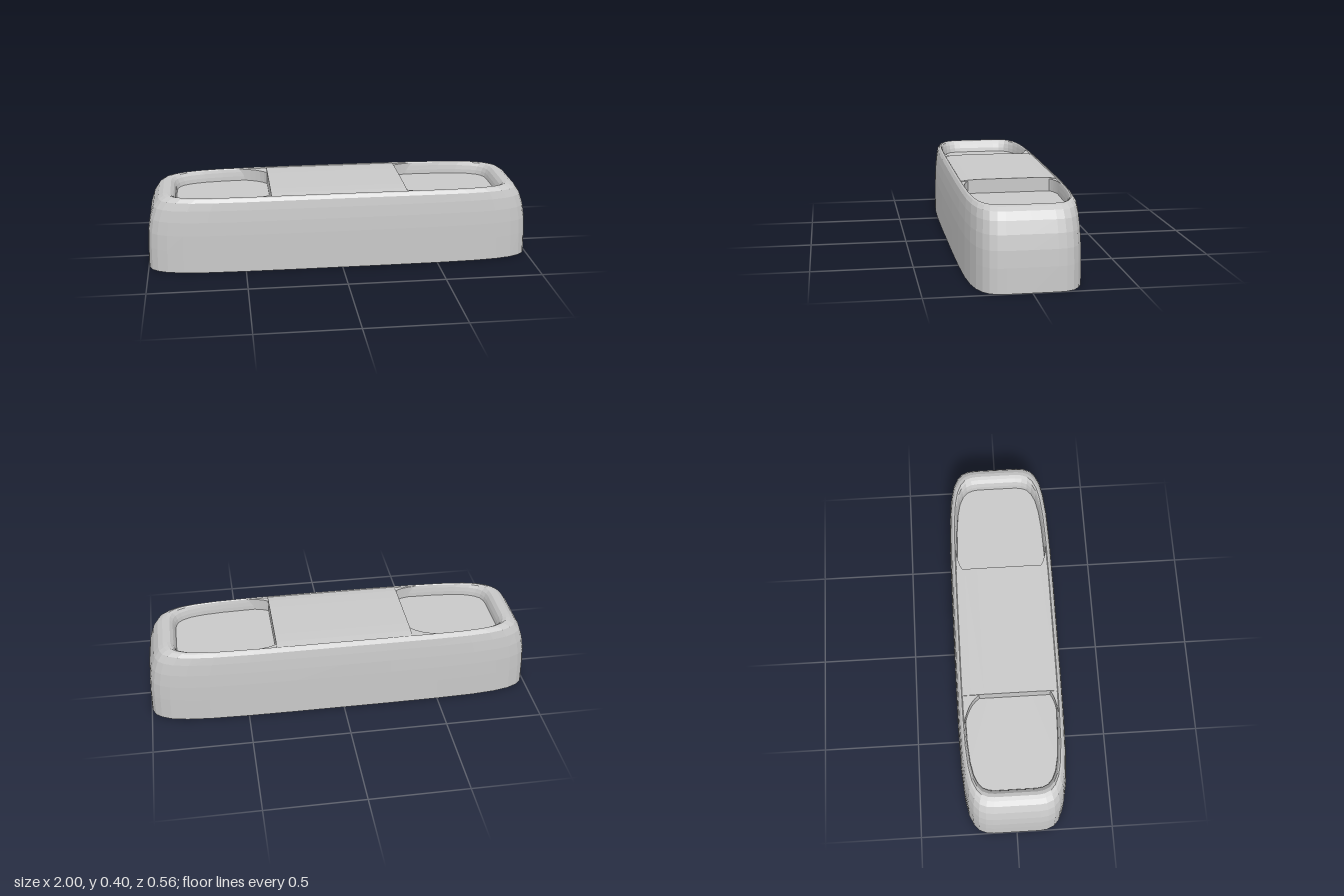
import * as THREE from 'three';

const grey = new THREE.MeshStandardMaterial({ color: 0xc8c8c8 });
grey.name = 'light grey';

// one quarter of the plan outline, as fractions of the half sizes (x, z)
const quarter = [[1, 0], [1, 0.43], [0.995, 0.57], [0.98, 0.695], [0.95, 0.79], [0.9, 0.872],
  [0.82, 0.932], [0.7, 0.972], [0.5, 0.993], [0.25, 1], [0, 1]];

function fullOutline() {
  const flip = (sx, sz) => quarter.map(([x, z]) => [sx * x, sz * z]);
  return [
    ...flip(1, 1).slice(0, -1),
    ...flip(-1, 1).reverse().slice(0, -1),
    ...flip(-1, -1).slice(0, -1),
    ...flip(1, -1).reverse().slice(0, -1),
  ];
}

// skin a stack of [halfX, halfZ, y] rings with flat facets
function loft(rings) {
  const outline = fullOutline();
  const n = outline.length;
  const point = ([hx, hz, y], i) => {
    const [ox, oz] = outline[i % n];
    const arch = y > 0.36 ? 0.005 * (1 - ox * ox) : 0; // rim rises a touch mid-length
    return [ox * hx, y + arch, oz * hz];
  };
  const pos = [];
  for (let r = 0; r < rings.length - 1; r++) {
    for (let i = 0; i < n; i++) {
      const a = point(rings[r], i), b = point(rings[r], i + 1);
      const c = point(rings[r + 1], i), d = point(rings[r + 1], i + 1);
      if (rings[r][0] > 0) pos.push(...a, ...c, ...b);
      if (rings[r + 1][0] > 0) pos.push(...b, ...c, ...d);
    }
  }
  const geo = new THREE.BufferGeometry();
  geo.setAttribute('position', new THREE.Float32BufferAttribute(pos, 3));
  geo.computeVertexNormals();
  return geo;
}

function add(group, name, geo) {
  const mesh = new THREE.Mesh(geo, grey);
  mesh.name = name;
  group.add(mesh);
  return mesh;
}

export function createModel() {
  const group = new THREE.Group();
  group.name = 'roundedTray';
  const floorY = 0.325;

  // shell: underside, tapering walls, rounded rim, inner wall and pocket floor
  add(group, 'trayBody', loft([
    [0, 0, 0], [1, 0.281, 0], [0.998, 0.28, 0.12], [0.993, 0.279, 0.2], [0.981, 0.276, 0.27],
    [0.961, 0.271, 0.33], [0.935, 0.265, 0.368], [0.91, 0.255, 0.384], [0.89, 0.247, 0.389],
    [0.872, 0.243, 0.384], [0.857, 0.24, 0.368], [0.848, 0.237, 0.347], [0.843, 0.236, floorY],
    [0, 0, floorY],
  ]));

  // bridge between the two pockets, with a gently crowned top
  const section = new THREE.Shape([[-0.246, 0.31], [0.246, 0.31], [0.246, 0.389], [0.2, 0.394],
    [0.13, 0.396], [-0.13, 0.396], [-0.2, 0.394], [-0.246, 0.389]].map(p => new THREE.Vector2(...p)));
  const bridge = new THREE.ExtrudeGeometry(section, { depth: 0.7, bevelEnabled: false });
  bridge.rotateY(Math.PI / 2);
  add(group, 'bridge', bridge).position.x = -0.36;

  // curved fillers where the pockets meet the bridge: [bridge x, side x, side z, length, width]
  const corners = [[-0.36, -1, -1, 0.16, 0.085], [-0.36, -1, 1, 0.14, 0.035],
    [0.34, 1, -1, 0.13, 0.035], [0.34, 1, 1, 0.13, 0.035]];
  for (const [x, sx, sz, length, width] of corners) {
    const edge = 0.242 * sz;
    const plan = new THREE.Shape();
    plan.moveTo(x, -edge);
    plan.lineTo(x + sx * length, -edge);
    plan.quadraticCurveTo(x + sx * length * 0.25, -(edge - sz * width * 0.25), x, -(edge - sz * width));
    plan.closePath();
    const filler = new THREE.ExtrudeGeometry(plan, { depth: 0.064, bevelEnabled: false, curveSegments: 6 });
    filler.rotateX(-Math.PI / 2);
    add(group, 'pocketCorner', filler).position.y = floorY - 0.002;
  }
  return group;
}
